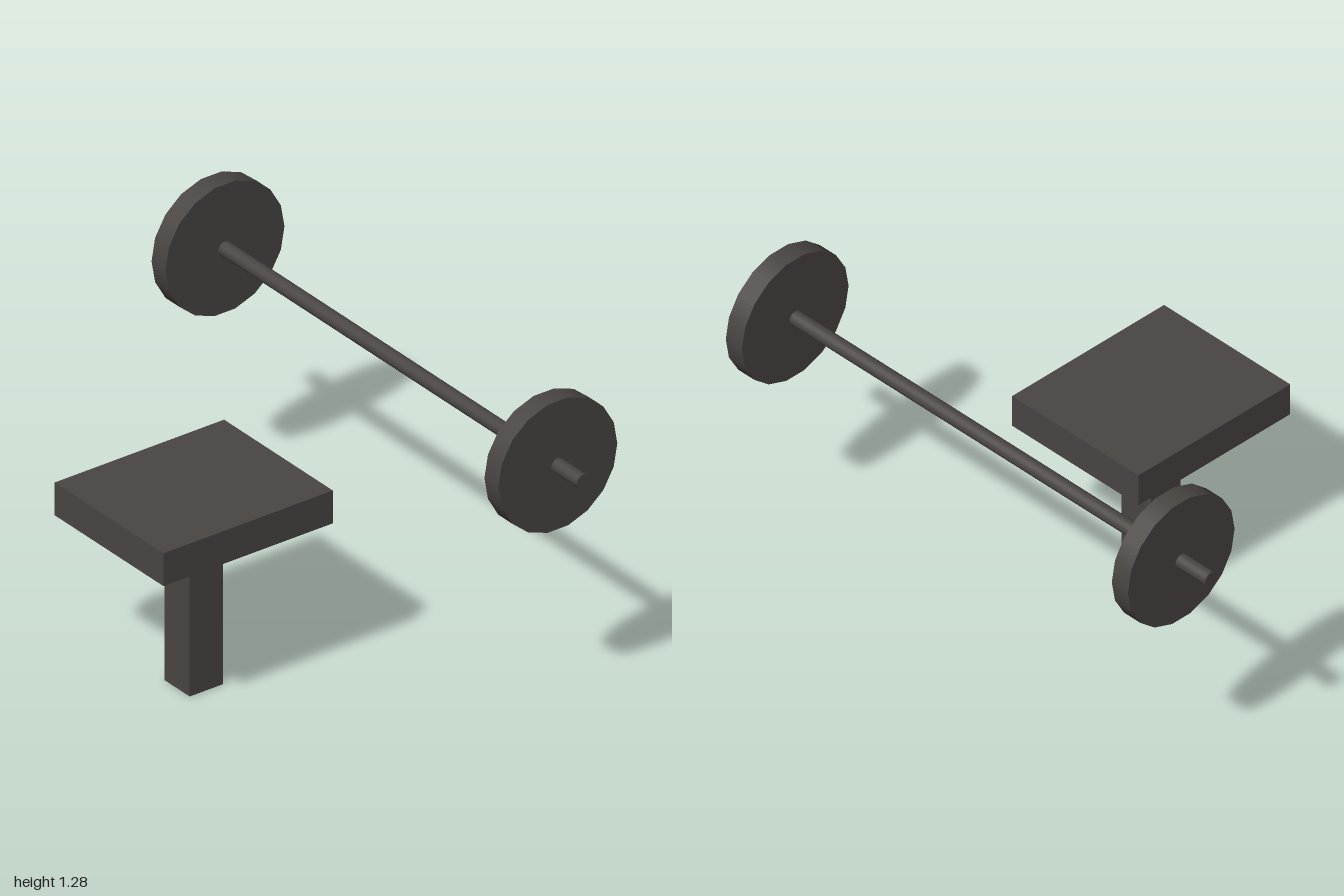
import * as THREE from 'three';

export function createModel() {
  const model = new THREE.Group();
  model.name = 'barbellAndBench';
  const darkGrey = new THREE.MeshStandardMaterial({ color: 0x494543 });
  darkGrey.name = 'darkGrey';

  const add = (parent, name, geometry, x, y, z) => {
    const mesh = new THREE.Mesh(geometry, darkGrey);
    mesh.name = name;
    mesh.position.set(x, y, z);
    parent.add(mesh);
    return mesh;
  };
  // A cylinder lying along z, with a flat side uppermost
  const disc = (radius, length, sides) =>
    new THREE.CylinderGeometry(radius, radius, length, sides).rotateZ(Math.PI / 2).rotateY(Math.PI / 2);

  // Both pieces are turned by the same angle
  const turn = Math.PI / 6;

  // Bench: square post carrying a thick seat
  const bench = new THREE.Group();
  bench.name = 'bench';
  bench.position.set(-0.482, 0, 0.408);
  bench.rotation.y = turn;
  add(bench, 'post', new THREE.BoxGeometry(0.144, 0.645, 0.144), 0, 0.3225, 0);
  add(bench, 'seat', new THREE.BoxGeometry(0.732, 0.13, 0.623), 0, 0.71, 0);
  model.add(bench);

  // Barbell: long bar with a weight plate near each end
  const barbell = new THREE.Group();
  barbell.name = 'barbell';
  barbell.position.set(0.231, 1.029, 0);
  barbell.rotation.y = turn;
  add(barbell, 'bar', disc(0.028, 2.277, 18), 0, 0, 0);
  for (const [name, side] of [['frontPlate', 1], ['backPlate', -1]]) {
    add(barbell, name, disc(0.257, 0.08, 18), 0, 0, side * 0.953);
  }
  model.add(barbell);

  return model;
}
